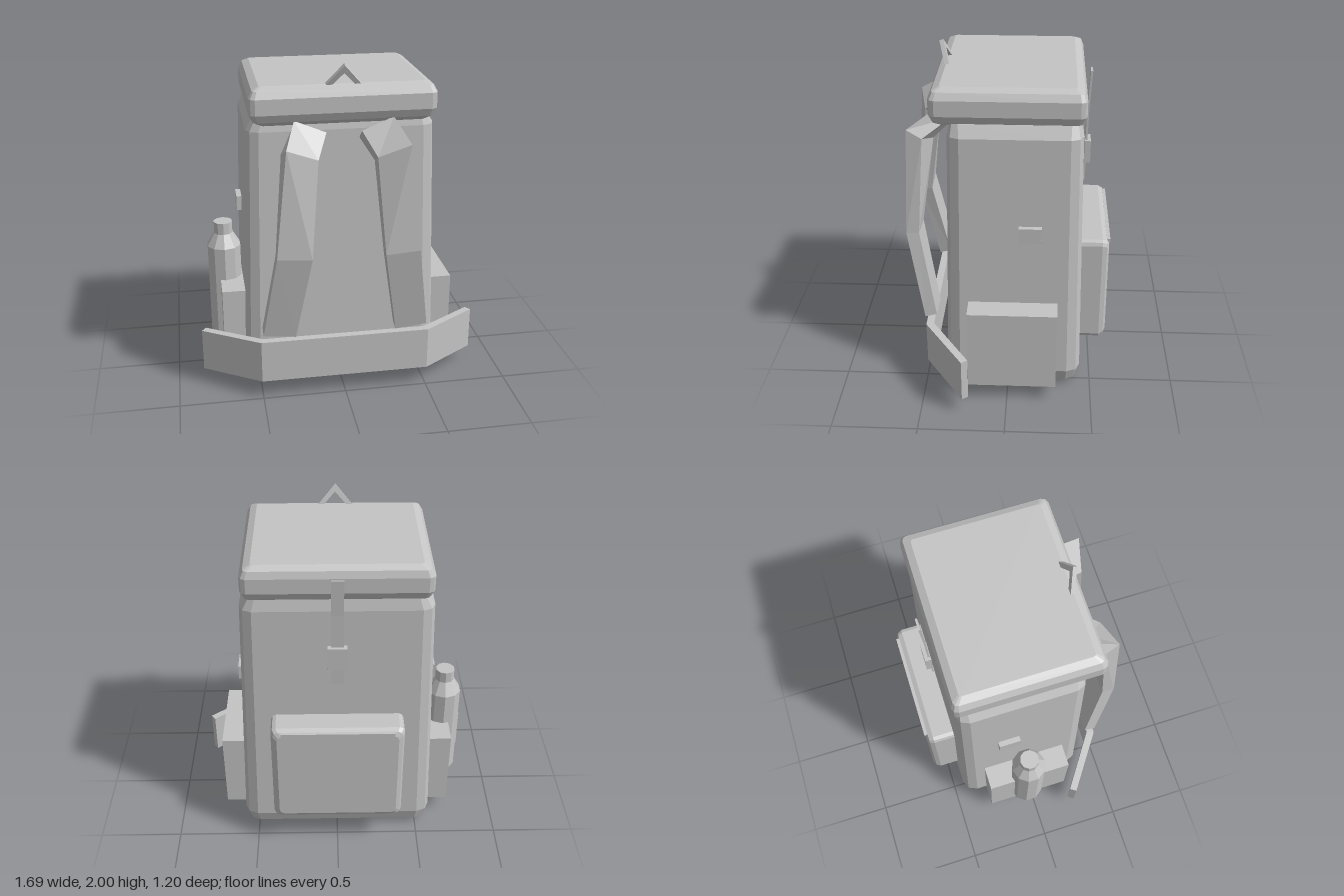
import * as THREE from 'three';

// Closed solid through a list of equal-length rings, wound to face outward.
function loft(rings) {
  const tris = [];
  const n = rings[0].length;
  for (let r = 0; r < rings.length - 1; r++) {
    for (let i = 0; i < n; i++) {
      const j = (i + 1) % n;
      const a = rings[r][i], b = rings[r][j], c = rings[r + 1][j], d = rings[r + 1][i];
      tris.push([a, b, c], [a, c, d]);
    }
  }
  const first = rings[0], last = rings[rings.length - 1];
  for (let i = 1; i < n - 1; i++) {
    tris.push([first[0], first[i + 1], first[i]], [last[0], last[i], last[i + 1]]);
  }
  let volume = 0;
  for (const [a, b, c] of tris) volume += a.dot(b.clone().cross(c));
  const pos = [];
  for (const [a, b, c] of tris) {
    for (const p of volume > 0 ? [a, b, c] : [a, c, b]) pos.push(p.x, p.y, p.z);
  }
  const g = new THREE.BufferGeometry();
  g.setAttribute('position', new THREE.Float32BufferAttribute(pos, 3));
  g.computeVertexNormals();
  return g;
}

// Rectangle outline with two-step bevelled corners.
function bevelRect(u0, u1, v0, v1, c) {
  const m = c * 0.3;
  return [
    [u0, v0 + c], [u0 + m, v0 + m], [u0 + c, v0],
    [u1 - c, v0], [u1 - m, v0 + m], [u1, v0 + c],
    [u1, v1 - c], [u1 - m, v1 - m], [u1 - c, v1],
    [u0 + c, v1], [u0 + m, v1 - m], [u0, v1 - c],
  ];
}

// Soft block stacked upward from rows of [y, half width, back z, front z, corner].
const block = (rows) => loft(rows.map(([y, hx, zb, zf, c]) =>
  bevelRect(-hx, hx, zb, zf, c).map(([x, z]) => new THREE.Vector3(x, y, z))));

export function createModel() {
  const model = new THREE.Group();
  model.name = 'backpack';
  const fabric = new THREE.MeshStandardMaterial({ color: 0xc4c4c4 });
  fabric.name = 'light grey';
  fabric.flatShading = true;

  function add(name, geometry, x = 0, y = 0, z = 0) {
    const mesh = new THREE.Mesh(geometry, fabric);
    mesh.name = name;
    mesh.position.set(x, y, z);
    model.add(mesh);
    return mesh;
  }
  const box = (name, w, h, d, x, y, z) => add(name, new THREE.BoxGeometry(w, h, d), x, y, z);

  // Tapered main bag
  add('body', block([
    [0.005, 0.48, -0.36, 0.27, 0.03],
    [0.04, 0.555, -0.41, 0.345, 0.06],
    [0.12, 0.585, -0.435, 0.37, 0.08],
    [1.62, 0.54, -0.412, 0.335, 0.07],
    [1.69, 0.50, -0.395, 0.32, 0.05],
  ]));

  // Overhanging lid
  add('lid', block([
    [1.67, 0.46, -0.37, 0.38, 0.015],
    [1.695, 0.505, -0.405, 0.41, 0.025],
    [1.74, 0.527, -0.425, 0.43, 0.035],
    [1.83, 0.527, -0.425, 0.43, 0.035],
    [1.87, 0.505, -0.41, 0.41, 0.025],
    [1.89, 0.465, -0.37, 0.37, 0.015],
  ]));

  // Carry loop, leaning forward
  const loop = new THREE.Shape([
    [-0.11, 0], [-0.075, 0], [0, 0.085], [0.075, 0], [0.11, 0], [0, 0.132],
  ].map(([x, y]) => new THREE.Vector2(x, y)));
  const handle = add('carryLoop',
    new THREE.ExtrudeGeometry(loop, { depth: 0.025, bevelEnabled: false }), 0, 1.88, 0.35);
  handle.rotation.x = 0.32;

  // Shoulder straps: outer x, outer y, inner x, inner y, front z, back z, back y shift
  const strapRows = [
    [0.28, 1.70, 0.10, 1.625, 0.405, 0.33, -0.06],
    [0.345, 1.585, 0.165, 1.51, 0.58, 0.49, -0.045],
    [0.41, 0.96, 0.21, 0.945, 0.60, 0.525, 0],
    [0.49, 0.43, 0.30, 0.41, 0.50, 0.43, 0.02],
  ];
  for (const s of [1, -1]) {
    const side = s > 0 ? 'left' : 'right';
    add(side + 'ShoulderStrap', loft(strapRows.map(([xo, yo, xi, yi, zf, zb, dy], i) => {
      const lean = i === 1 ? 0.04 : 0;
      return [
        new THREE.Vector3(s * xo, yo, zf),
        new THREE.Vector3(s * xi, yi, zf - lean),
        new THREE.Vector3(s * xi, yi + dy, zb - lean),
        new THREE.Vector3(s * (xo + lean / 2), yo + dy, zb),
      ];
    })));

    // Side pocket and compression tab
    box(side + 'SidePocket', 0.2, 0.5, 0.52, s * 0.61, 0.35, -0.03);
    box(side + 'SideTab', 0.06, 0.09, 0.13, s * 0.557, 1.055, -0.128);
  }

  // Hip belt with wings swept backward: x, outer z, inner x, inner z, bottom, top
  add('hipBelt', loft([
    [-0.845, 0.255, -0.82, 0.22, 0.10, 0.363],
    [-0.505, 0.495, -0.49, 0.45, 0.12, 0.383],
    [0.505, 0.495, 0.49, 0.45, 0.12, 0.383],
    [0.845, 0.255, 0.82, 0.22, 0.10, 0.363],
  ].map(([xo, zo, xi, zi, y0, y1]) => [
    new THREE.Vector3(xo, y0, zo), new THREE.Vector3(xo, y1, zo),
    new THREE.Vector3(xi, y1, zi), new THREE.Vector3(xi, y0, zi),
  ])));

  // Water bottle
  const profile = [[0, 0.2], [0.105, 0.2], [0.105, 0.805], [0.058, 0.885], [0.058, 0.957], [0, 0.957]];
  add('waterBottle', new THREE.LatheGeometry(
    profile.map(([r, y]) => new THREE.Vector2(r, y)), 10), -0.678, 0, -0.035);

  // Rear pouch, bevelled on its outer face, with a zip strip
  add('pouch', loft([[-0.40, 0], [-0.55, 0], [-0.577, 0.012], [-0.59, 0.035]].map(([z, inset]) =>
    bevelRect(-0.39 + inset, 0.39 - inset, 0.235 + inset, 0.915 - inset, 0.03)
      .map(([x, y]) => new THREE.Vector3(x, y, z)))));
  box('pouchZip', 0.66, 0.025, 0.02, 0, 0.892, -0.587);

  // Lid fastening strap and buckle
  add('lidStrap', loft([[1.84, -0.462], [1.62, -0.45], [1.15, -0.438]].map(([y, z]) =>
    [[-0.035, -0.006], [0.035, -0.006], [0.035, 0.006], [-0.035, 0.006]]
      .map(([x, dz]) => new THREE.Vector3(x, y, z + dz)))));
  box('buckle', 0.11, 0.14, 0.037, 0, 1.34, -0.453);

  return model;
}
